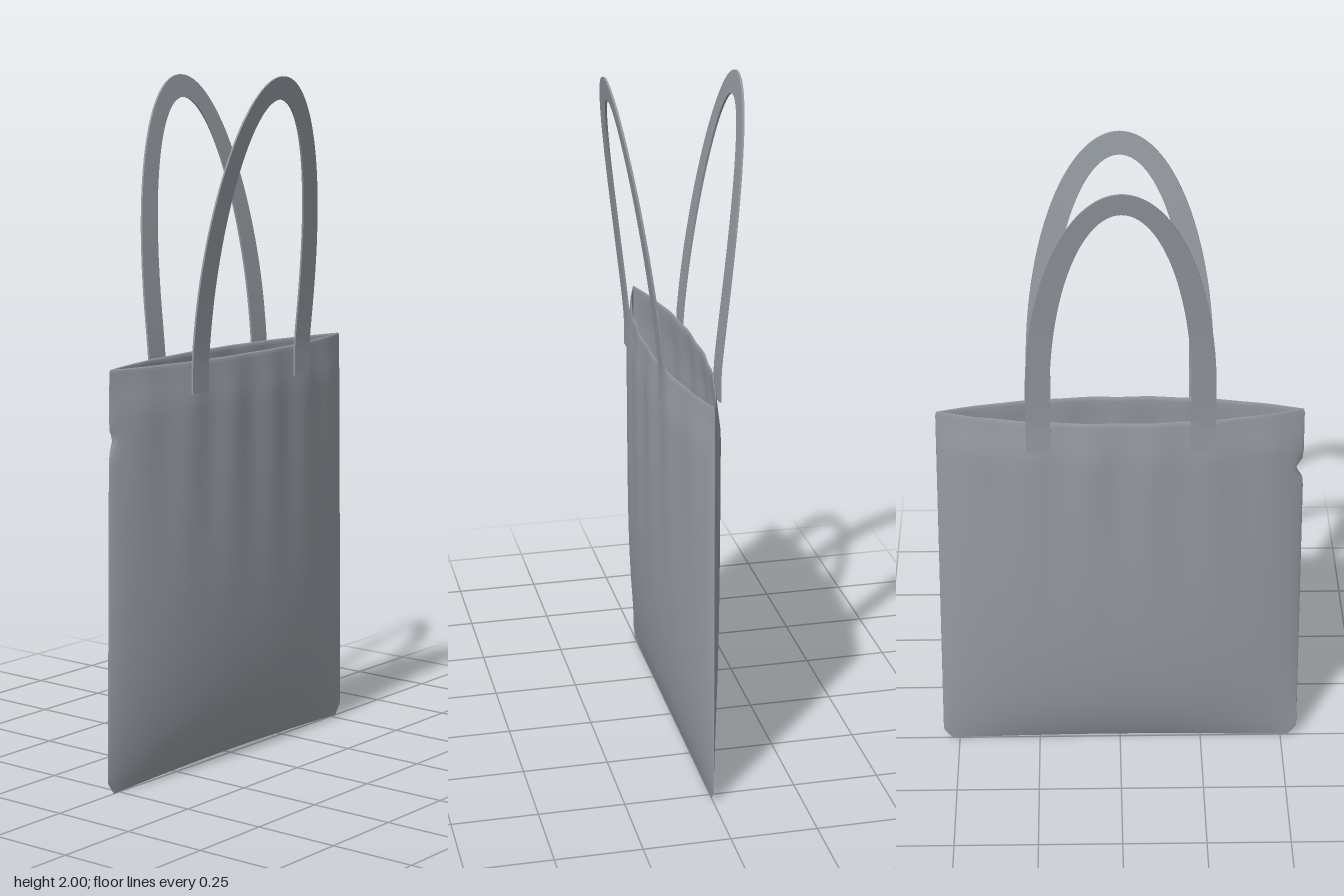
import * as THREE from 'three';
import { toCreasedNormals } from 'three/addons/utils/BufferGeometryUtils.js';

const TOP = 1.21;
const step = (a, b, y) => THREE.MathUtils.smoothstep(y, a, b);

// Skin a list of closed cross-section loops, each an array of [x, y, z]
function skin(loops, capped = false) {
  const n = loops[0].length, index = [];
  for (let i = 0; i < loops.length - 1; i++) {
    for (let j = 0; j < n; j++) {
      const a = i * n + j, b = i * n + (j + 1) % n;
      index.push(a, b, a + n, b, b + n, a + n);
    }
  }
  if (capped) {
    const e = (loops.length - 1) * n;
    index.push(0, 2, 1, 0, 3, 2, e, e + 1, e + 2, e, e + 2, e + 3);
  }
  const geo = new THREE.BufferGeometry();
  geo.setAttribute('position', new THREE.Float32BufferAttribute(loops.flat(2), 3));
  geo.setIndex(index);
  geo.computeVertexNormals();
  return geo;
}

// One horizontal loop of the bag: a pointed lens with soft vertical folds
function bagLoop(y, inset) {
  const n = 64, t = y / TOP, top = step(1.08, TOP, y), loop = [];
  const notch = 0.022 * Math.exp(-(((y - 1.01) / 0.022) ** 2));
  const depth = 0.085 * (1 - (1 - t) ** 5) ** 0.85 - 0.008 * top;
  for (let i = 0; i < 2 * n; i++) {
    const side = i < n ? 1 : -1;
    const u = -side * Math.cos(((i % n) / n) * Math.PI);
    // tapered width, clipped bottom corners, small pucker in one side seam
    let w = 0.53 + 0.02 * (1 - t) - 0.03 * (1 - Math.min(1, y / 0.04)) - inset;
    if (u < 0) w -= notch * Math.abs(u) ** 30;
    const x = u * w;
    const pillow = Math.max(0, 1 - Math.abs(u) ** 2.2) ** (0.75 + 0.25 * top);
    const fold = -0.005 * Math.cos(x * (30 + 6 * t)) * step(0.35, 1.1, y) * (1 - 0.6 * top) * (1 - u * u);
    const z = Math.max(0, depth - inset) * pillow + fold;
    loop.push([x, y + 0.012 * (1 - u * u) * (1 - step(0, 0.2, y)), side * z]);
  }
  return loop;
}

// Outer skin up to the rim, over the hem, and down the lining
function bagBody() {
  const rows = [], n = 56;
  for (let i = 0; i <= n; i++) rows.push([0.005 + 1.19 * (i / n) ** 1.5, 0]);
  rows.push([1.205, 0.001], [TOP, 0.004], [1.205, 0.007]);
  for (let i = n; i >= 0; i--) rows.push([0.02 + 1.175 * (i / n) ** 1.5, 0.008]);
  return skin(rows.map(([y, inset]) => bagLoop(y, inset)));
}

// Flat strap: two straight legs joined by a half ellipse, leaning outward with height
function strap() {
  const path = [], legs = 8, arc = 64, low = 1.12, spring = 1.3;
  for (let i = 0; i < legs; i++) path.push([1, 0, low + (spring - low) * i / legs]);
  for (let i = 0; i <= arc; i++) {
    const a = Math.PI * i / arc;
    path.push([Math.cos(a), Math.sin(a), spring]);
  }
  for (let i = legs - 1; i >= 0; i--) path.push([-1, 0, low + (spring - low) * i / legs]);
  const lean = y => 0.08 + 0.108 * Math.max(0, (y - 1.2) / 0.8) ** 1.2;
  const loops = path.map(([c, s, base]) => {
    const xo = 0.27 * c, yo = base + 0.7 * s, xi = 0.2 * c, yi = base + 0.635 * s;
    const h = 0.003;
    return [
      [xo, yo, lean(yo) + h], [xo, yo, lean(yo) - h],
      [xi, yi, lean(yi) - h], [xi, yi, lean(yi) + h],
    ];
  });
  return toCreasedNormals(skin(loops, true), 0.7);
}

export function createModel() {
  const fabric = new THREE.MeshStandardMaterial({ color: 0x969aa2, side: THREE.DoubleSide });
  fabric.name = 'grey fabric';
  const bag = new THREE.Group();
  bag.name = 'toteBag';

  const body = new THREE.Mesh(bagBody(), fabric);
  body.name = 'bagBody';
  bag.add(body);

  const strapGeo = strap();
  ['frontHandle', 'backHandle'].forEach((name, i) => {
    const handle = new THREE.Mesh(strapGeo, fabric);
    handle.name = name;
    handle.rotation.y = i * Math.PI;
    bag.add(handle);
  });
  return bag;
}
